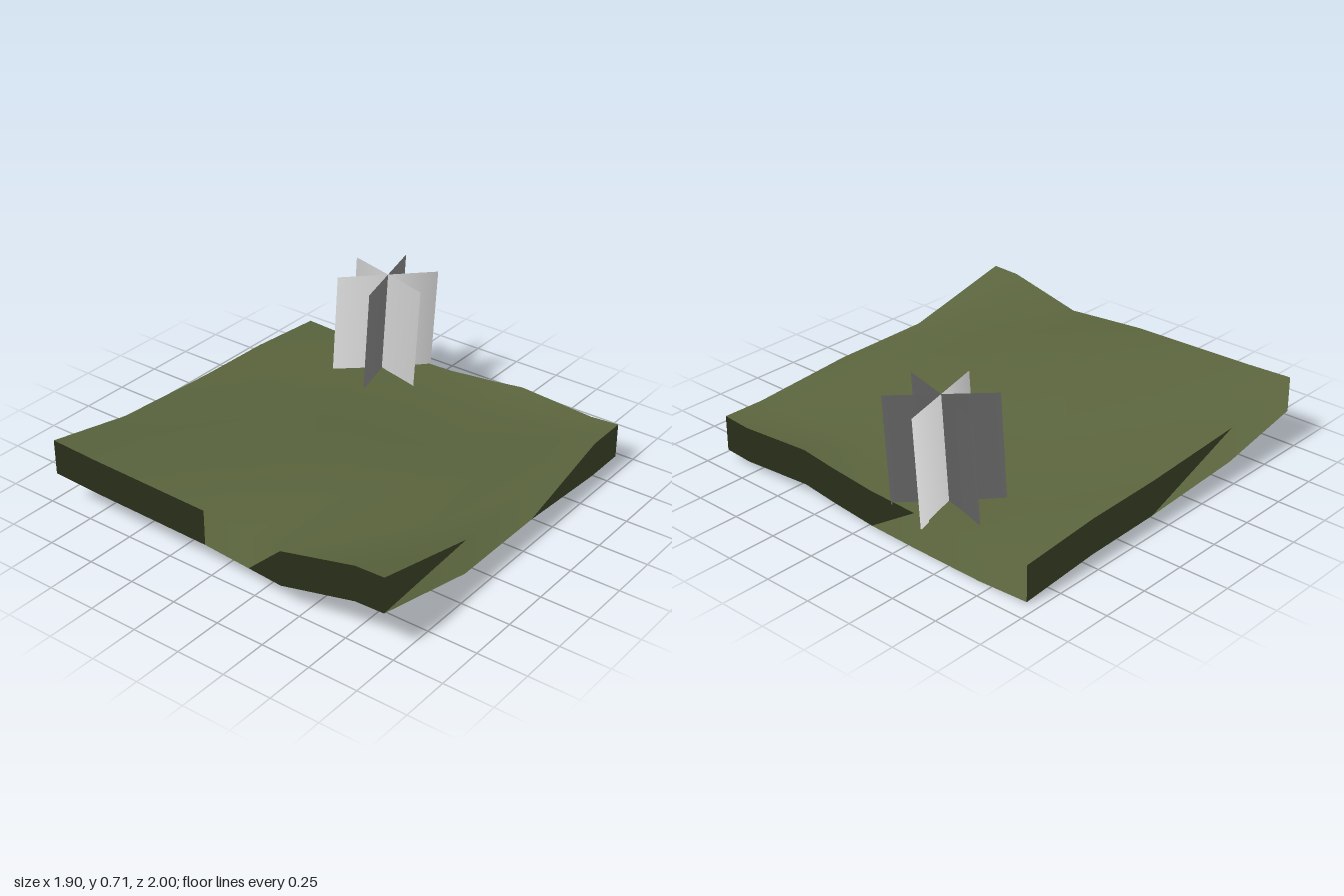
import * as THREE from 'three';

const grass = new THREE.MeshStandardMaterial({ name: 'grassGreen', color: 0x5c663e, side: THREE.DoubleSide });
const pale = new THREE.MeshStandardMaterial({ name: 'paleGrey', color: 0xc0c0c0, side: THREE.DoubleSide });

// Terrain: columns in x; each row slants from its z at the right side to its z at the left side
const xs = [-0.95, -0.68, -0.3, -0.03, 0.22, 0.4, 0.8, 0.95];
const rows = [
  { z: [-0.91, -0.91], y: [0.195, 0.182, 0.187, 0.195, 0.22, 0.243, 0.215, 0.225] },
  { z: [-0.48, -0.69], y: [0.228, 0.205, 0.186, 0.19, 0.205, 0.212, 0.214, 0.223] },
  { z: [-0.06, -0.14], y: [0.236, 0.235, 0.24, 0.255, 0.265, 0.268, 0.262, 0.26] },
  { z: [0.53, 0.4], y: [0.268, 0.285, 0.305, 0.32, 0.335, 0.326, 0.28, 0.262] },
  { z: [1, 1], y: [0.355, 0.345, 0.338, 0.333, 0.314, 0.3, 0.395, 0.4] },
];
const skirtDepth = 0.18;

function groundGeometry() {
  const geo = new THREE.PlaneGeometry(1, 1, xs.length - 1, rows.length - 1).rotateX(-Math.PI / 2);
  rows.forEach(({ z, y }, r) => xs.forEach((x, c) => {
    const depth = THREE.MathUtils.mapLinear(x, -0.95, 0.95, z[0], z[1]);
    geo.attributes.position.setXYZ(r * xs.length + c, x, y[c], depth);
  }));
  geo.computeVertexNormals();
  return geo;
}

// Skirt hanging from the rim; it keeps the ground normals so the rim stays soft
function skirtGeometry(ground) {
  const nx = xs.length, nz = rows.length, rim = [];
  for (let c = 0; c < nx - 1; c++) rim.push((nz - 1) * nx + c);
  for (let r = nz - 1; r > 0; r--) rim.push(r * nx + nx - 1);
  for (let c = nx - 1; c > 0; c--) rim.push(c);
  for (let r = 0; r < nz - 1; r++) rim.push(r * nx);

  const pos = [], nor = [], index = [];
  const p = new THREE.Vector3(), n = new THREE.Vector3();
  rim.forEach((v, i) => {
    p.fromBufferAttribute(ground.attributes.position, v);
    n.fromBufferAttribute(ground.attributes.normal, v);
    pos.push(p.x, p.y, p.z, p.x, p.y - skirtDepth, p.z);
    nor.push(n.x, n.y, n.z, n.x, n.y, n.z);
    const a = i * 2, b = ((i + 1) % rim.length) * 2;
    index.push(a + 1, b + 1, b, a + 1, b, a);
  });
  const geo = new THREE.BufferGeometry();
  geo.setAttribute('position', new THREE.Float32BufferAttribute(pos, 3));
  geo.setAttribute('normal', new THREE.Float32BufferAttribute(nor, 3));
  geo.setIndex(index);
  return geo;
}

// Upright card, sheared so its top stays level; normals fan up and outward like foliage
function cardGeometry(angle) {
  const geo = new THREE.PlaneGeometry(0.51, 0.538, 2, 1).rotateY(THREE.MathUtils.degToRad(angle));
  const { position, normal } = geo.attributes;
  const n = new THREE.Vector3();
  for (let i = 0; i < position.count; i++) {
    const x = position.getX(i), y = position.getY(i), z = position.getZ(i);
    n.set(x * 2, 1, z * 2).normalize();
    normal.setXYZ(i, n.x, n.y, n.z);
    position.setXYZ(i, x + y * 0.035, y, z - y * 0.037);
  }
  return geo;
}

export function createModel() {
  const model = new THREE.Group();
  model.name = 'groundPatch';

  const add = (parent, name, geo, mat) => {
    const mesh = new THREE.Mesh(geo, mat);
    mesh.name = name;
    parent.add(mesh);
  };

  const ground = groundGeometry();
  add(model, 'ground', ground, grass);
  add(model, 'groundSkirt', skirtGeometry(ground), grass);

  // Three crossed foliage cards
  const plant = new THREE.Group();
  plant.name = 'plant';
  plant.position.set(-0.333, 0.446, -0.744);
  for (const angle of [-75, -15, 45]) add(plant, 'foliageCard', cardGeometry(angle), pale);
  model.add(plant);
  return model;
}
